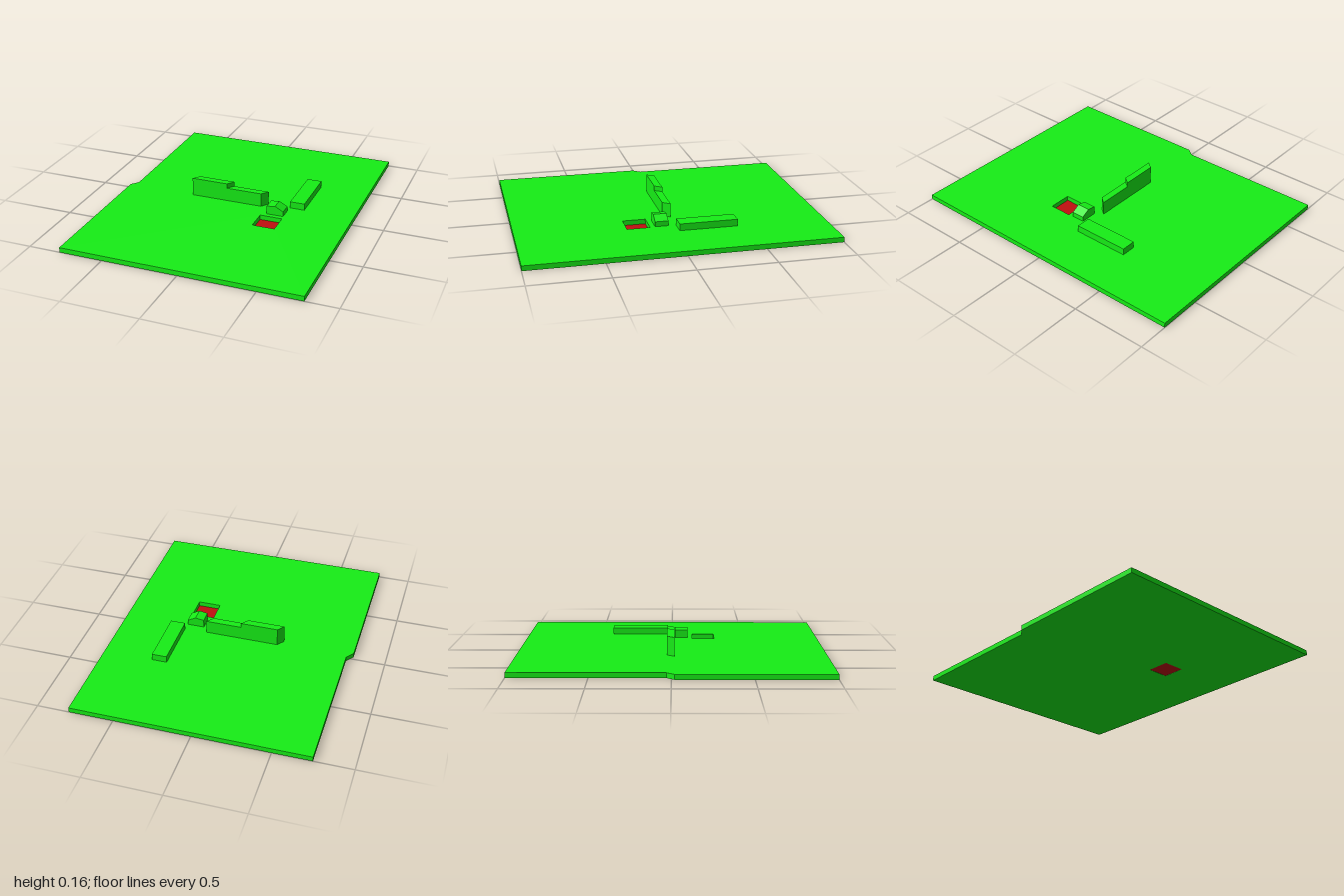
import * as THREE from 'three';

const GROUND = 0.033;
const green = new THREE.MeshStandardMaterial({ color: 0x16ee16, flatShading: true });
const red = new THREE.MeshStandardMaterial({ color: 0xc01010, flatShading: true, side: THREE.DoubleSide });

const toPoints = (pairs, sign) => pairs.map(([a, b]) => new THREE.Vector2(a, sign * b));

// Extrude an [x, z] floor plan upward from y0 to y1
function planPart(name, plan, y0, y1, hole) {
  const shape = new THREE.Shape(toPoints(plan, -1));
  if (hole) shape.holes.push(new THREE.Path(toPoints(hole, -1)));
  const geometry = new THREE.ExtrudeGeometry(shape, { depth: y1 - y0, bevelEnabled: false });
  geometry.rotateX(-Math.PI / 2).translate(0, y0, 0);
  const mesh = new THREE.Mesh(geometry, green);
  mesh.name = name;
  return mesh;
}

// Rectangular floor plan
const rect = (x0, x1, z0, z1) => [[x0, z1], [x1, z1], [x1, z0], [x0, z0]];

export function createModel() {
  const group = new THREE.Group();
  group.name = 'siteModel';

  // Ground slab with a stepped left edge and a square pool opening
  const outline = [[-0.79, 1], [0.79, 1], [0.79, -1], [-0.75, -1], [-0.75, -0.03], [-0.79, 0.02]];
  group.add(planPart('ground', outline, 0, GROUND, rect(0.21, 0.36, 0.14, 0.29)));

  // Red floor at the bottom of the opening
  const floor = new THREE.Mesh(new THREE.PlaneGeometry(0.15, 0.15).rotateX(-Math.PI / 2), red);
  floor.position.set(0.285, 0.001, 0.215);
  floor.name = 'poolFloor';
  group.add(floor);

  // Main building: two slanted-end wings of different height
  group.add(planPart('tallWing',
    [[-0.32, 0.018], [-0.072, 0.018], [-0.035, -0.03], [-0.283, -0.03]], GROUND, 0.156));
  group.add(planPart('lowWing',
    [[-0.072, 0.018], [0.17, 0.018], [0.208, -0.03], [-0.035, -0.03]], GROUND, 0.124));

  // Long low side building
  group.add(planPart('sideBuilding', rect(0.358, 0.457, -0.41, -0.03), GROUND, 0.078));

  // Small hut with an uneven pitched roof
  const profile = [[0.242, GROUND], [0.356, GROUND], [0.356, 0.066], [0.3, 0.097], [0.242, 0.088]];
  const hutGeometry = new THREE.ExtrudeGeometry(new THREE.Shape(toPoints(profile, 1)),
    { depth: 0.087, bevelEnabled: false });
  const hut = new THREE.Mesh(hutGeometry, green);
  hut.position.z = 0.02;
  hut.name = 'hut';
  group.add(hut);

  return group;
}
